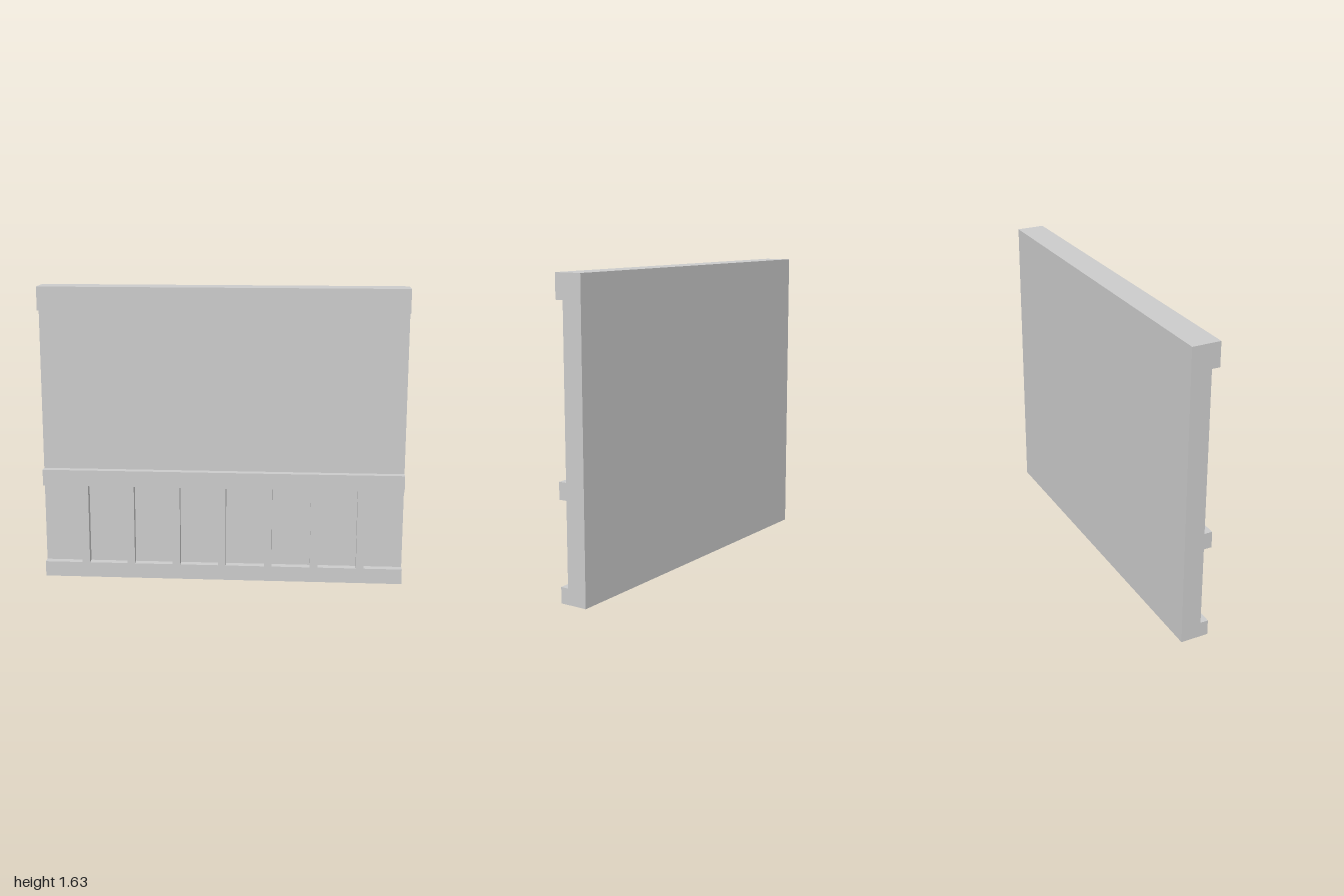
import * as THREE from 'three';

const HEIGHT = 1.635, BACK = -0.077, FACE = 0.033, FRONT = 0.077;

export function createModel() {
  const group = new THREE.Group();
  const material = new THREE.MeshStandardMaterial({ color: 0xcccccc, flatShading: true });

  // Box given by its limits on each axis
  const addBox = (name, x0, x1, y0, y1, z0, z1) => {
    const mesh = new THREE.Mesh(new THREE.BoxGeometry(x1 - x0, y1 - y0, z1 - z0), material);
    mesh.position.set((x0 + x1) / 2, (y0 + y1) / 2, (z0 + z1) / 2);
    mesh.name = name;
    group.add(mesh);
  };

  // Wall slab
  addBox('wallPanel', -1, 1, 0, HEIGHT, BACK, FACE);

  // Full-width horizontal trim
  addBox('baseboard', -1, 1, 0, 0.085, FACE, FRONT);
  addBox('chairRail', -1, 1, 0.53, 0.62, FACE, FRONT);
  addBox('crownBoard', -1, 1, 1.505, HEIGHT, FACE, FRONT);

  // Seven upright battens between baseboard and chair rail
  const spacing = 0.256, half = 0.0213;
  for (let i = -3; i <= 3; i++) {
    const x = i * spacing;
    addBox(`batten${i + 4}`, x - half, x + half, 0.085, 0.53, FACE, FRONT);
  }
  return group;
}
